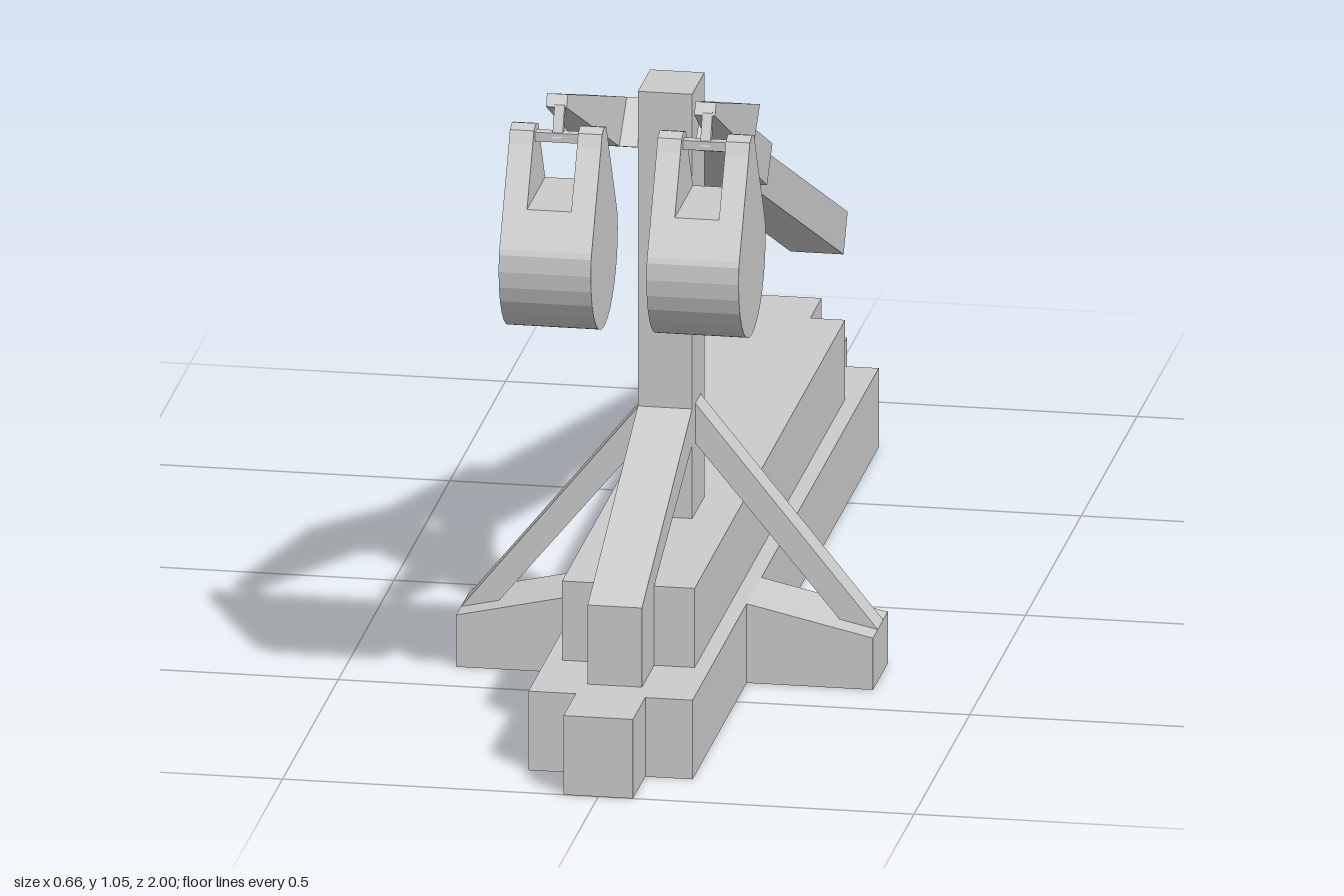
import * as THREE from 'three';
import { ConvexGeometry } from 'three/addons/geometries/ConvexGeometry.js';

const mat = new THREE.MeshStandardMaterial({ color: 0xcccccc, flatShading: true });

function add(parent, name, geometry) {
  const mesh = new THREE.Mesh(geometry, mat);
  mesh.name = name;
  parent.add(mesh);
  return mesh;
}

// Box given by its limits on each axis
function block(parent, name, [x0, x1], [y0, y1], [z0, z1]) {
  const g = new THREE.BoxGeometry(x1 - x0, y1 - y0, z1 - z0);
  g.translate((x0 + x1) / 2, (y0 + y1) / 2, (z0 + z1) / 2);
  return add(parent, name, g);
}

// Side outline of [z, y] points, extruded from x0 to x1
function sideExtrude(outline, x0, x1) {
  const shape = new THREE.Shape(outline.map(([z, y]) => new THREE.Vector2(z, y)));
  const g = new THREE.ExtrudeGeometry(shape, { depth: x1 - x0, bevelEnabled: false });
  return g.rotateY(-Math.PI / 2).translate(x1, 0, 0);
}

// Tapered beam between stations { x: [in, out], top: [z, y], bottom: [z, y] }
function beam(stations) {
  const pts = [];
  for (const { x, top, bottom } of stations)
    for (const px of x)
      for (const [z, y] of [top, bottom]) pts.push(new THREE.Vector3(px, y, z));
  return new ConvexGeometry(pts);
}

// Front outline of [x, y] points, extruded from z0 to z1; mirrored for side -1
function frontExtrude(outline, side, z0, z1) {
  const shape = new THREE.Shape(outline.map(([x, y]) => new THREE.Vector2(side * x, y)));
  return new THREE.ExtrudeGeometry(shape, { depth: z1 - z0, bevelEnabled: false }).translate(0, 0, z0);
}

export function createModel() {
  const model = new THREE.Group();
  model.name = 'trebuchet';

  // Two stacked sleds with narrow tongues at both ends
  const base = new THREE.Group();
  base.name = 'base';
  model.add(base);
  block(base, 'lowerSled', [-0.13, 0.13], [0, 0.13], [-0.78, 0.89]);
  block(base, 'lowerFrontTongue', [-0.055, 0.055], [0, 0.13], [0.89, 1]);
  block(base, 'lowerRearTongue', [-0.055, 0.055], [0, 0.13], [-0.92, -0.78]);
  block(base, 'upperSled', [-0.105, 0.105], [0.13, 0.26], [-0.62, 0.73]);
  block(base, 'upperFrontTongue', [-0.045, 0.041], [0.13, 0.26], [0.73, 0.84]);
  block(base, 'upperRearTongue', [-0.05, 0.05], [0.13, 0.26], [-0.72, -0.62]);

  // Upright post and its front brace
  block(model, 'post', [-0.045, 0.041], [0.26, 0.957], [0.28, 0.39]);
  add(model, 'frontBrace', sideExtrude([[0.84, 0.26], [0.39, 0.44], [0.39, 0.38], [0.73, 0.26]], -0.045, 0.041));

  // Throwing arm: long shaft, wide middle
  const arm = new THREE.Group();
  arm.name = 'throwingArm';
  model.add(arm);
  const tail = { top: [-1, 0.31], bottom: [-0.963, 0.252] };
  const joint = { top: [-0.155, 0.7], bottom: [-0.107, 0.647] };
  const fork = { top: [0.148, 0.845], bottom: [0.19, 0.797] };
  const elbow = { top: [0.325, 0.925], bottom: [0.393, 0.866] };
  const tip = { top: [0.7, 1.05], bottom: [0.712, 1.032] };
  add(arm, 'armShaft', beam([{ x: [-0.042, 0.042], ...tail }, { x: [-0.042, 0.042], ...joint }]));
  add(arm, 'armMiddle', beam([{ x: [-0.076, 0.072], ...joint }, { x: [-0.076, 0.072], ...fork }]));

  // Counterweight side outline: round belly narrowing to a rounded top
  const cz = 0.725, cy = 0.802, r = 0.121;
  const belly = [];
  for (let i = 0; i <= 18; i++) {
    const a = Math.PI * (0.86 + 1.28 * i / 18);
    belly.push([cz + r * Math.cos(a + 0), cy + r * Math.sin(a)]);
  }
  belly[0] = [cz - 0.114, cy + 0.035];
  belly[18] = [cz + 0.114, cy + 0.035];
  const crown = [[cz + 0.03, 0.982], [cz + 0.02, 1.002], [cz, 1.008], [cz - 0.02, 1.002], [cz - 0.03, 0.982]];
  const floorY = 0.893;
  const floorHalf = 0.03 + 0.084 * (0.982 - floorY) / 0.145;
  const cheek = [...belly, ...crown];
  const body = [...belly, [cz + floorHalf, floorY], [cz - floorHalf, floorY]];

  for (const side of [1, -1]) {
    const label = side > 0 ? 'left' : 'right';

    // Outrigger and diagonal side brace
    add(base, label + 'Outrigger',
      frontExtrude([[0.13, 0], [0.33, 0], [0.33, 0.085], [0.13, 0.13]], side, 0.272, 0.405));
    add(model, label + 'Brace',
      frontExtrude([[0.041, 0.44], [0.041, 0.375], [0.27, 0.098], [0.33, 0.085]], side, 0.313, 0.362));

    // Fork prong: flared root, then a tapering finger
    const span = (a, b) => [side * a, side * b];
    add(arm, label + 'ProngRoot',
      beam([{ x: span(0.045, 0.073), ...fork }, { x: span(0.045, 0.137), ...elbow }]));
    add(arm, label + 'Prong',
      beam([{ x: span(0.074, 0.137), ...elbow }, { x: span(0.101, 0.134), ...tip }]));

    // Hanging counterweight with two cheeks, a pin and a hook
    const weight = new THREE.Group();
    weight.name = label + 'Counterweight';
    weight.position.x = side * 0.117 + 0.005;
    model.add(weight);
    add(weight, 'weightBody', sideExtrude(body, -0.035, 0.035));
    add(weight, 'outerCheek', sideExtrude(cheek, 0.035, 0.073));
    add(weight, 'innerCheek', sideExtrude(cheek, -0.073, -0.035));
    block(weight, 'pin', [-0.036, 0.036], [0.981, 0.996], [cz - 0.008, cz + 0.008]);
    add(weight, 'hook', sideExtrude([[0.7, 1.043], [0.717, 0.988], [0.734, 0.988], [0.712, 1.036]], -0.008, 0.008));
  }
  return model;
}
